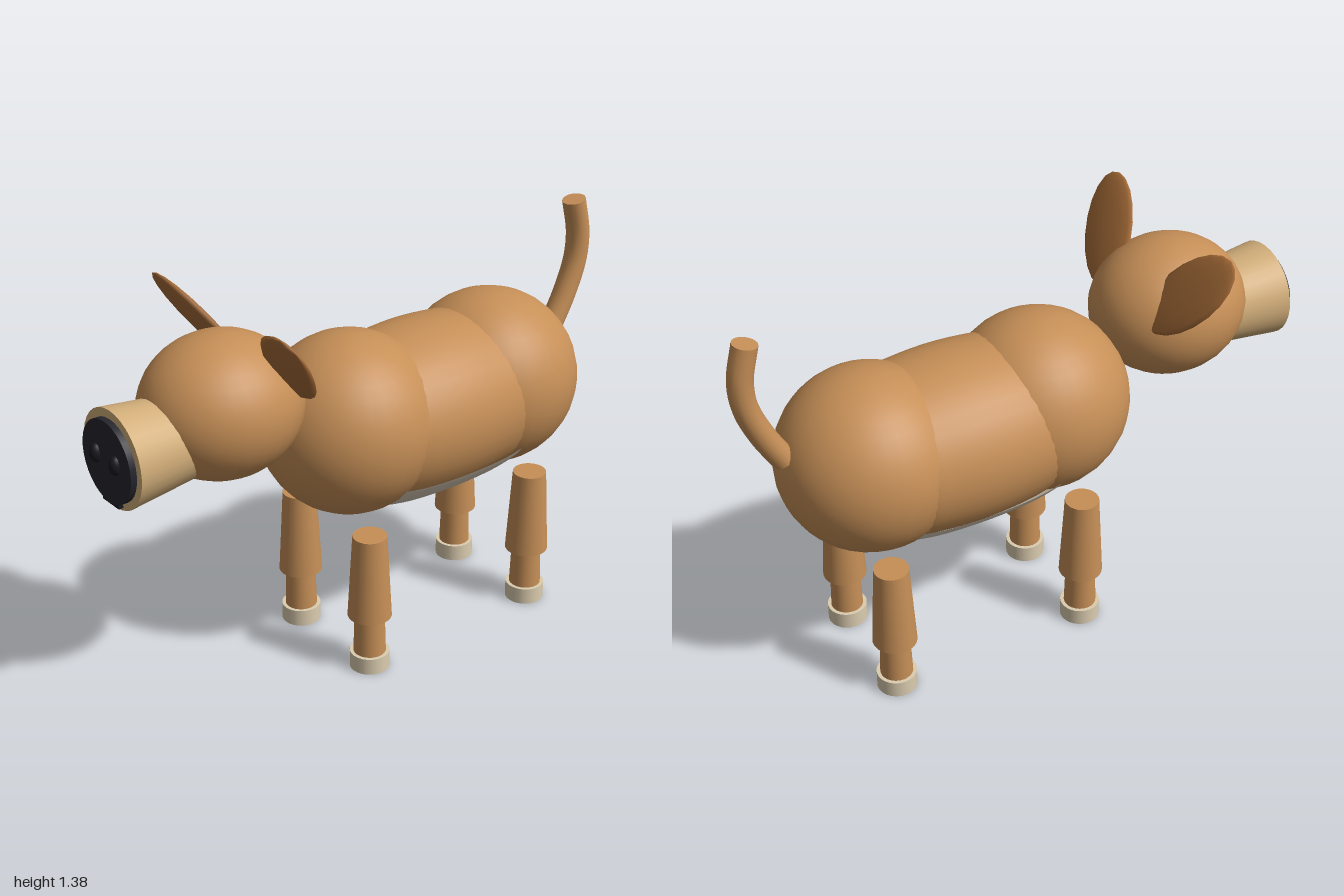
import * as THREE from 'three';

const paint = (name, color) => {
  const m = new THREE.MeshStandardMaterial({ color });
  m.name = name;
  return m;
};

export function createModel() {
  const model = new THREE.Group();
  model.name = 'animal';

  const coat = paint('coat brown', 0xc68f57);
  const earBrown = paint('ear brown', 0xa66c38);
  const tan = paint('muzzle tan', 0xd2ae7a);
  const cream = paint('hoof cream', 0xdccdb0);
  const bellyCream = paint('belly cream', 0xd8cbb8);
  bellyCream.side = THREE.DoubleSide;
  const noseBlack = paint('nose black', 0x25252e);
  const nostrilBlack = paint('nostril black', 0x18181f);

  const add = (name, geometry, material, x, y, z, parent = model) => {
    const mesh = new THREE.Mesh(geometry, material);
    mesh.name = name;
    mesh.position.set(x, y, z);
    parent.add(mesh);
    return mesh;
  };
  const ball = (name, material, pos, radii, w = 32, h = 20, parent = model) => {
    const geo = new THREE.SphereGeometry(1, w, h).scale(...radii);
    return add(name, geo, material, ...pos, parent);
  };
  // Lathe whose axis runs along z; angle 0 points straight down
  const barrel = (name, profile, material, squash, start, length) => {
    const pts = new THREE.SplineCurve(profile.map(([r, z]) => new THREE.Vector2(r, z))).getPoints(20);
    const geo = new THREE.LatheGeometry(pts, 36, start, length).scale(1, 1, squash).rotateX(Math.PI / 2);
    return add(name, geo, material, 0, 0.805, 0);
  };

  // Body
  ball('shoulders', coat, [0, 0.83, 0.06], [0.304, 0.31, 0.31]);
  ball('rump', coat, [0, 0.82, -0.555], [0.308, 0.308, 0.31]);
  barrel('torso', [[0.2, -0.6], [0.28, -0.5], [0.299, -0.4], [0.308, -0.25],
    [0.299, -0.1], [0.28, 0], [0.25, 0.1]], coat, 0.96, 0, Math.PI * 2);
  barrel('belly', [[0.27, -0.6], [0.293, -0.5], [0.307, -0.4], [0.312, -0.25],
    [0.306, -0.1], [0.292, 0], [0.27, 0.08]], bellyCream, 0.985, -1, 2);

  // Head, muzzle and nose
  ball('head', coat, [0, 1.045, 0.56], [0.248, 0.235, 0.27]);
  add('muzzle', new THREE.CylinderGeometry(0.163, 0.134, 0.26, 32).rotateX(Math.PI / 2),
    tan, 0, 0.982, 0.826);
  add('nose', new THREE.CylinderGeometry(0.136, 0.136, 0.03, 32).rotateX(Math.PI / 2),
    noseBlack, 0, 0.98, 0.962);
  add('mouth', new THREE.BoxGeometry(0.09, 0.016, 0.02), nostrilBlack, 0, 0.843, 0.962);

  for (const side of [1, -1]) {
    ball('nostril', nostrilBlack, [side * 0.055, 0.99, 0.978], [0.021, 0.032, 0.022], 16, 10);

    // Thin oval ear, rolled outwards then leaned forward
    const ear = ball('ear', earBrown, [side * 0.24, 1.23, 0.475], [0.113, 0.2, 0.02], 12, 10);
    ear.rotation.set(0.56, 0, -side * 0.645);

    // Legs
    for (const [name, z] of [['frontLeg', 0.125], ['backLeg', -0.59]]) {
      const leg = new THREE.Group();
      leg.name = name;
      leg.position.set(side * 0.193, 0, z);
      model.add(leg);
      add('upperLeg', new THREE.CylinderGeometry(0.058, 0.075, 0.304, 24), coat, 0, 0.353, 0, leg);
      add('lowerLeg', new THREE.CylinderGeometry(0.051, 0.056, 0.17, 24), coat, 0, 0.125, 0, leg);
      add('hoof', new THREE.CylinderGeometry(0.068, 0.068, 0.06, 24), cream, 0, 0.03, 0, leg);
    }
  }

  // Tail with closed ends
  const path = new THREE.CatmullRomCurve3([[0.92, -0.845], [1.03, -0.905], [1.15, -0.95],
    [1.25, -0.957], [1.375, -0.93]].map(([y, z]) => new THREE.Vector3(0, y, z)));
  const tail = new THREE.Group();
  tail.name = 'tail';
  model.add(tail);
  add('tailTube', new THREE.TubeGeometry(path, 24, 0.041, 16), coat, 0, 0, 0, tail);
  for (const [t, dir] of [[0, -1], [1, 1]]) {
    const p = path.getPoint(t);
    const cap = add('tailEnd', new THREE.CircleGeometry(0.041, 16), coat, p.x, p.y, p.z, tail);
    cap.quaternion.setFromUnitVectors(new THREE.Vector3(0, 0, 1),
      path.getTangent(t).multiplyScalar(dir));
  }

  return model;
}
